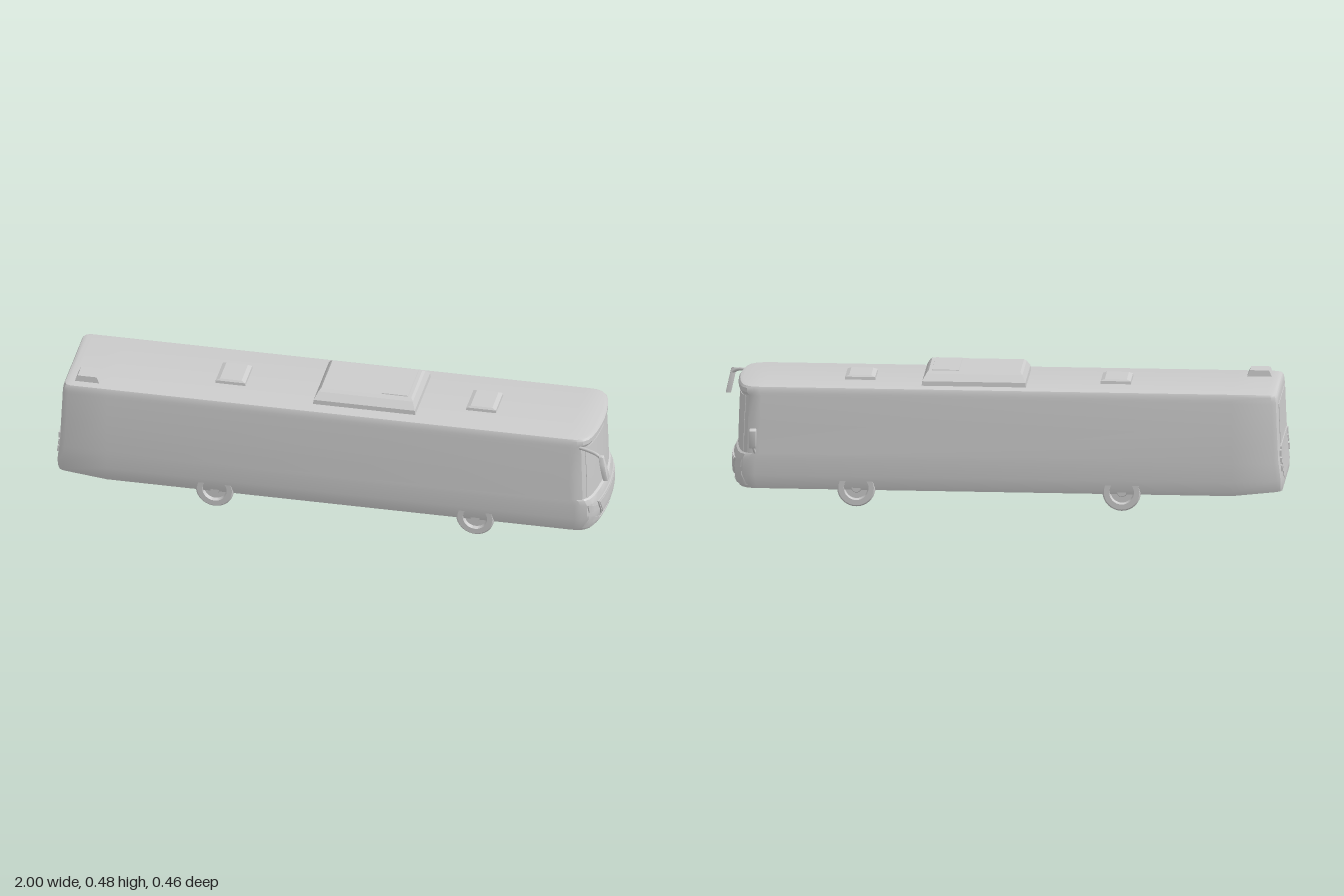
import * as THREE from 'three';
import { toCreasedNormals } from 'three/addons/utils/BufferGeometryUtils.js';

const ZC = -0.0055; // body centre line
// body levels: y, front x, rear x, half width
const LEVELS = [
  [0.06, 0.942, -0.998, 0.186], [0.075, 0.95, -1.0, 0.19], [0.11, 0.955, -1.0, 0.194],
  [0.165, 0.954, -0.995, 0.195], [0.183, 0.946, -0.993, 0.195], [0.188, 0.938, -0.992, 0.195],
  [0.29, 0.935, -0.987, 0.192], [0.395, 0.931, -0.983, 0.185], [0.405, 0.938, -0.982, 0.184],
  [0.42, 0.938, -0.98, 0.182], [0.427, 0.933, -0.976, 0.179], [0.43, 0.922, -0.968, 0.172],
];
// curve of the nose in plan: fraction of half width, setback
const NOSE = [[0, 0], [0.25, 0.002], [0.5, 0.007], [0.72, 0.015], [0.86, 0.025], [0.95, 0.041], [0.99, 0.062], [1, 0.085]];

function interpolate(table, t, col) {
  for (let i = 1; i < table.length; i++) {
    const a = table[i - 1], b = table[i];
    if (t <= b[0]) return a[col] + (b[col] - a[col]) * Math.max(0, (t - a[0]) / (b[0] - a[0]));
  }
  return table[table.length - 1][col];
}
const frontX = (y, z) =>
  interpolate(LEVELS, y, 1) - interpolate(NOSE, Math.min(1, Math.abs(z - ZC) / interpolate(LEVELS, y, 3)), 1);
const rearX = (y) => interpolate(LEVELS, y, 2);

// shell lofted from plan outlines, with floor and roof strips
function bodyGeometry() {
  const pos = [], idx = [];
  let n = 0;
  for (const [y, xf, xr, hw] of LEVELS) {
    const half = NOSE.map(([f, d]) => [xf - d, f * hw]);
    half.push([-0.82, hw], [xr + 0.022, hw], [xr + 0.007, hw - 0.006], [xr, hw - 0.02], [xr, 0]);
    const ring = [...half, ...half.slice(1, -1).reverse().map(([x, z]) => [x, -z])];
    n = ring.length;
    for (const [x, z] of ring) {
      // the skirt rises behind the rear overhang
      const lift = x < -0.82 ? 0.02 * (-0.82 - x) / 0.18 * Math.max(0, 1 - (y - 0.06) / 0.1) : 0;
      pos.push(x, y + lift, z + ZC);
    }
  }
  for (let k = 0; k < LEVELS.length - 1; k++) {
    for (let i = 0; i < n; i++) {
      const a = k * n + i, b = k * n + (i + 1) % n, c = a + n, d = b + n;
      idx.push(a, c, b, b, c, d);
    }
  }
  const top = (LEVELS.length - 1) * n;
  for (let i = 0; i < n / 2; i++) {
    const a = i, b = i + 1, c = (n - i) % n, d = n - i - 1;
    idx.push(a, b, c, b, d, c);
    idx.push(top + a, top + c, top + b, top + b, top + c, top + d);
  }
  const g = new THREE.BufferGeometry();
  g.setAttribute('position', new THREE.Float32BufferAttribute(pos, 3));
  g.setIndex(idx);
  return toCreasedNormals(g, 0.45);
}

// thin plate hugging the nose or tail; corners [z, y]: lower/upper at each end
function plate(p00, p10, p01, p11, rise, rear = false) {
  const g = new THREE.BoxGeometry(1, 1, 1, rear ? 1 : 16, 4, 1);
  const p = g.attributes.position;
  for (let i = 0; i < p.count; i++) {
    const u = p.getX(i) + 0.5, v = p.getY(i) + 0.5, w = p.getZ(i) + 0.5;
    const mix = (k) => (p00[k] * (1 - u) + p10[k] * u) * (1 - v) + (p01[k] * (1 - u) + p11[k] * u) * v;
    const z = mix(0), y = mix(1), off = -0.004 + w * (rise + 0.004);
    p.setXYZ(i, rear ? rearX(y) - off : frontX(y, z) + off, y, z);
  }
  return toCreasedNormals(g, 0.5);
}

// box whose top is inset by given margins
function taperedBox(x0, x1, y0, y1, z0, z1, inX, inZ) {
  const g = new THREE.BoxGeometry(x1 - x0, y1 - y0, z1 - z0);
  const p = g.attributes.position;
  for (let i = 0; i < p.count; i++) {
    if (p.getY(i) > 0) {
      p.setX(i, p.getX(i) - Math.sign(p.getX(i)) * inX);
      p.setZ(i, p.getZ(i) - Math.sign(p.getZ(i)) * inZ);
    }
  }
  g.translate((x0 + x1) / 2, (y0 + y1) / 2, (z0 + z1) / 2);
  return toCreasedNormals(g, 0.3);
}

// mirror housing from an outline in [z, y], leaning forward toward the bottom
function mirrorHead(points, x, depth, lean) {
  const shape = new THREE.Shape(points.map(([z, y]) => new THREE.Vector2(-z, y)));
  const g = new THREE.ExtrudeGeometry(shape, {
    depth, bevelEnabled: true, bevelSize: 0.002, bevelThickness: 0.003, bevelSegments: 2,
  });
  g.rotateY(Math.PI / 2);
  const p = g.attributes.position, y0 = points[0][1];
  for (let i = 0; i < p.count; i++) p.setX(i, p.getX(i) + x - lean * (p.getY(i) - y0));
  return toCreasedNormals(g, 0.6);
}

export function createModel() {
  const grey = new THREE.MeshStandardMaterial({ color: 0xcccccc });
  grey.name = 'light grey';
  const bus = new THREE.Group();
  bus.name = 'bus';
  const add = (name, geometry) => {
    const m = new THREE.Mesh(geometry, grey);
    m.name = name;
    bus.add(m);
    return m;
  };

  add('body', bodyGeometry());

  // wheels, hollow on the inboard side
  const profile = [[0, -0.01], [0.045, -0.01], [0.047, -0.044], [0.063, -0.044], [0.068, -0.039], [0.068, 0.039],
    [0.063, 0.044], [0.044, 0.044], [0.04, 0.03], [0.02, 0.03], [0.016, 0.04], [0, 0.04]];
  const wheel = toCreasedNormals(
    new THREE.LatheGeometry(profile.map(([r, h]) => new THREE.Vector2(r, h)), 32), 0.5);
  for (const [x, end] of [[0.51, 'front'], [-0.43, 'rear']]) {
    for (const s of [1, -1]) {
      const w = add(end + (s > 0 ? 'LeftWheel' : 'RightWheel'), wheel);
      w.rotation.x = s * Math.PI / 2;
      w.position.set(x, 0.068, ZC + s * 0.148);
    }
  }

  // roof equipment
  add('airConditionerBase', taperedBox(-0.088, 0.283, 0.425, 0.446, -0.141, 0.127, 0.003, 0.002));
  add('airConditionerSlope', taperedBox(-0.085, 0.28, 0.446, 0.468, -0.139, 0.125, 0.012, 0.024));
  add('airConditionerTop', taperedBox(-0.073, 0.268, 0.468, 0.476, -0.115, 0.101, 0.008, 0.013));
  add('airConditionerPanel', taperedBox(0.15, 0.25, 0.47, 0.479, -0.1, 0.086, 0.003, 0.003));
  for (const x of [-0.4, 0.505]) {
    add('roofHatch', taperedBox(x - 0.055, x + 0.055, 0.425, 0.44, -0.069, 0.057, 0.002, 0.002));
    add('roofHatchLid', taperedBox(x - 0.053, x + 0.053, 0.44, 0.446, -0.067, 0.055, 0.014, 0.006));
  }
  add('roofVent', taperedBox(-0.945, -0.853, 0.425, 0.452, 0.077, 0.145, 0.012, 0.003));

  // nose panels
  const c = (dz, y) => [ZC + dz, y];
  add('windscreen', plate(c(0.172, 0.193), c(-0.172, 0.193), c(0.165, 0.39), c(-0.165, 0.39), 0.002));
  add('grillePanel', plate(c(0.105, 0.094), c(-0.105, 0.094), c(0.134, 0.157), c(-0.134, 0.157), 0.005));
  add('grilleInset', plate(c(0.1, 0.098), c(-0.1, 0.098), c(0.127, 0.152), c(-0.127, 0.152), 0.007));
  add('bumperLip', plate(c(0.115, 0.064), c(-0.115, 0.064), c(0.122, 0.079), c(-0.122, 0.079), 0.004));
  for (const s of [1, -1]) {
    const side = s > 0 ? 'left' : 'right';
    // order ends so each plate always runs from +z to -z
    const pair = (name, o, i, oT, iT, rise) => add(name, s > 0
      ? plate(c(o[0], o[1]), c(i[0], i[1]), c(oT[0], oT[1]), c(iT[0], iT[1]), rise)
      : plate(c(-i[0], i[1]), c(-o[0], o[1]), c(-iT[0], iT[1]), c(-oT[0], oT[1]), rise));
    pair(side + 'Headlight', [0.18, 0.134], [0.123, 0.122], [0.184, 0.163], [0.137, 0.145], 0.004);
    pair(side + 'FogLightSurround', [0.184, 0.07], [0.12, 0.07], [0.184, 0.12], [0.118, 0.088], 0.004);
  }

  // tail panels
  add('rearWindow', plate(c(-0.15, 0.25), c(0.15, 0.25), c(-0.15, 0.39), c(0.15, 0.39), 0.002, true));
  add('engineHatch', plate(c(-0.125, 0.115), c(0.125, 0.115), c(-0.15, 0.235), c(0.15, 0.235), 0.003, true));
  for (const s of [1, -1]) {
    for (const y of [0.15, 0.178, 0.206]) {
      const z = s * 0.168;
      add('tailLight', plate(c(z - 0.01, y), c(z + 0.01, y), c(z - 0.01, y + 0.022), c(z + 0.01, y + 0.022), 0.005, true));
    }
  }

  // left mirror hangs from a swept arm
  const v = (x, y, z) => new THREE.Vector3(x, y, z);
  const leftArm = new THREE.CatmullRomCurve3([v(0.885, 0.395, 0.17), v(0.92, 0.396, 0.185), v(0.955, 0.394, 0.203), v(0.978, 0.38, 0.214)]);
  add('leftMirrorArm', new THREE.TubeGeometry(leftArm, 16, 0.006, 8));
  add('leftMirror', mirrorHead([[0.204, 0.31], [0.23, 0.31], [0.23, 0.342], [0.225, 0.37], [0.216, 0.392],
    [0.21, 0.396], [0.209, 0.375], [0.204, 0.35]], 0.984, 0.013, 0.22));

  // right mirror sits low beside the pillar
  const rightArm = new THREE.CatmullRomCurve3([v(0.868, 0.19, -0.197), v(0.872, 0.205, -0.205), v(0.876, 0.225, -0.21)]);
  add('rightMirrorArm', new THREE.TubeGeometry(rightArm, 8, 0.005, 8));
  add('rightMirror', mirrorHead([[-0.209, 0.212], [-0.222, 0.213], [-0.228, 0.225], [-0.228, 0.274],
    [-0.204, 0.277], [-0.203, 0.225]], 0.866, 0.018, 0));
  return bus;
}
